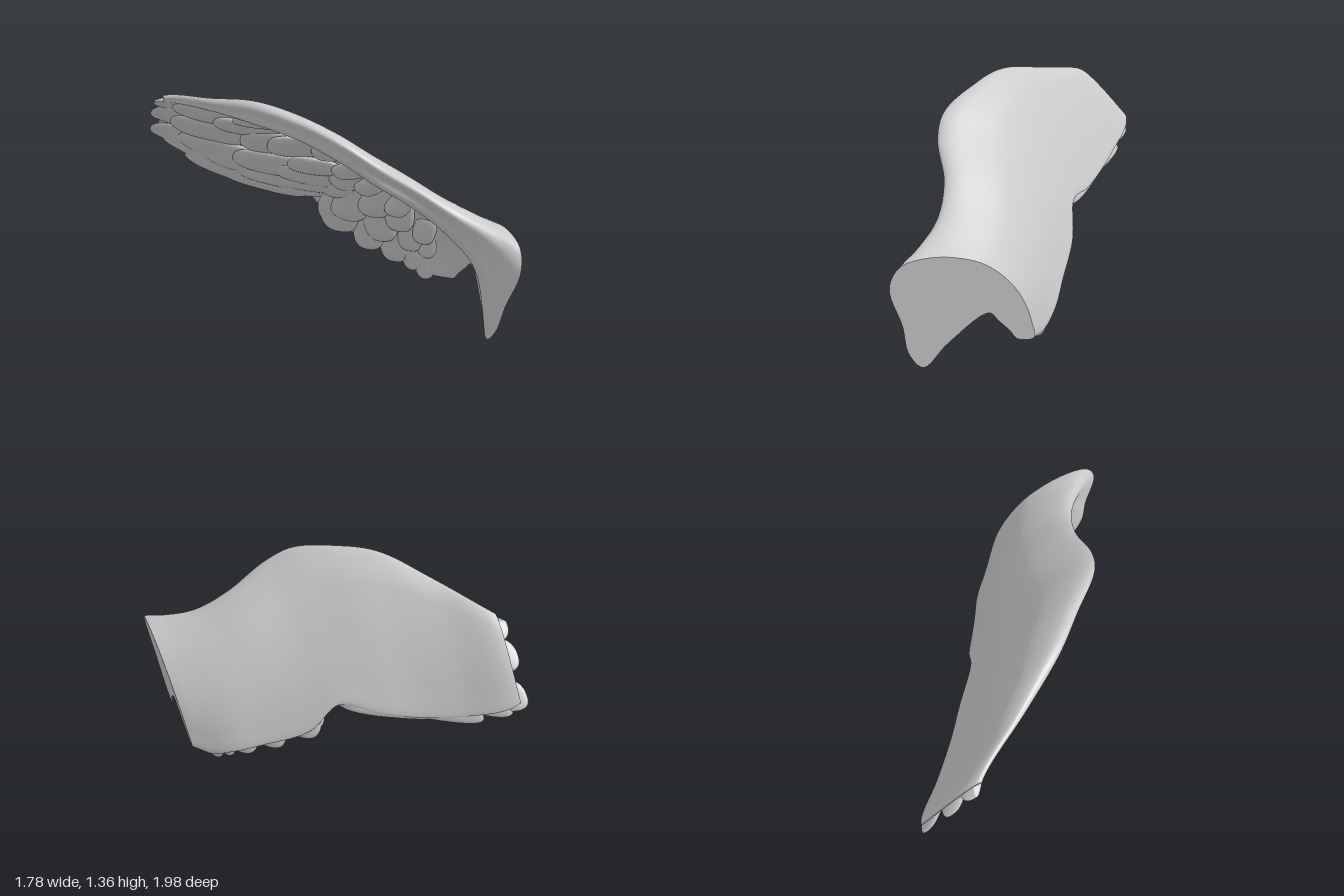
import * as THREE from 'three';

// Spanwise stations: x, then crest y, front z, crest setback, lip bottom y, lip width,
// trailing y, trailing z, shell bottom y, arch roundness, thickness
const STATIONS = [
  [-0.9, 1.18, -0.66, 0.02, 1.15, 0.03, 0.84, -1.05, 0.92, 0.15, 0.03],
  [-0.8, 1.23, -0.56, 0.03, 1.18, 0.05, 0.76, -1.02, 0.82, 0.2, 0.04],
  [-0.6, 1.3, -0.23, 0.05, 1.22, 0.08, 0.63, -0.83, 0.68, 0.3, 0.06],
  [-0.4, 1.36, 0.07, 0.08, 1.22, 0.11, 0.56, -0.65, 0.6, 0.4, 0.07],
  [-0.2, 1.33, 0.29, 0.1, 1.18, 0.13, 0.54, -0.49, 0.575, 0.5, 0.08],
  [0, 1.25, 0.5, 0.12, 1.09, 0.14, 0.48, -0.35, 0.57, 0.58, 0.09],
  [0.15, 1.15, 0.57, 0.12, 0.98, 0.14, 0.38, -0.26, 0.38, 0.64, 0.1],
  [0.4, 0.97, 0.59, 0.12, 0.79, 0.15, 0.2, -0.12, 0.23, 0.74, 0.11],
  [0.6, 0.83, 0.68, 0.14, 0.61, 0.17, 0.1, -0.01, 0.14, 0.84, 0.13],
  [0.78, 0.74, 0.85, 0.18, 0.38, 0.22, 0.05, 0.1, 0.08, 0.95, 0.17],
  [0.85, 0.715, 0.94, 0.21, 0.15, 0.28, 0.04, 0.15, 0.09, 1, 0.2],
  [0.89, 0.7, 0.99, 0.24, 0, 0.33, 0.03, 0.18, 0.1, 1, 0.22],
];
const NAMES = ['yc', 'zF', 'r', 'yl', 'lipW', 'vb', 'zT', 'low', 'arch', 'th'];
const spline = new THREE.CubicInterpolant(
  STATIONS.map((s) => s[0]), STATIONS.flatMap((s) => s.slice(1)), NAMES.length, new Float32Array(NAMES.length));

function station(x) {
  const v = spline.evaluate(THREE.MathUtils.clamp(x, -0.9, 0.89));
  return Object.fromEntries(NAMES.map((n, i) => [n, v[i]]));
}

// Depth of the smooth outer face at height y: a blend of a straight slope and a quarter ellipse
function outerZ(s, y) {
  const t = Math.max(0, (s.yc - y) / (s.yc - s.vb));
  const round = Math.sqrt(1 - (1 - Math.min(t, 1)) ** 2);
  const crest = s.zF - s.r;
  return crest + (s.zT - crest) * THREE.MathUtils.lerp(t, round, s.arch);
}

// Lean the root end so that its cut is slanted
function place(x, y, z) {
  return [x - THREE.MathUtils.smoothstep(x, 0.5, 0.89) * 0.155 * (0.7 - y), y, z];
}

// Closed cross-section: outer face up to the crest, round the lip, back down the inner face
function section(x, count) {
  const s = station(x);
  const pts = [];
  const add = (z, y) => pts.push(new THREE.Vector3(0, y, z));
  for (const k of [1, 0.8, 0.6, 0.4, 0.22, 0.09, 0]) {
    const y = s.yc - (s.yc - s.low) * k;
    add(outerZ(s, y), y);
  }
  const h = s.yc - s.yl;
  add(s.zF - s.r * 0.25, s.yc - h * 0.05);
  add(s.zF, s.yc - h * 0.22);
  add(s.zF - s.lipW * 0.2, s.yl + h * 0.42);
  add(s.zF - s.lipW * 0.3, s.yl + h * 0.15);
  add(s.zF - s.lipW * 0.55, s.yl);
  add(s.zF - s.lipW * 0.95, s.yl + h * 0.2);
  const apex = s.yl + h * 0.44;
  for (const k of [0, 0.3, 0.65, 0.97]) {
    const y = apex + (s.low - apex) * k;
    add(outerZ(s, y) + s.th * (1 - 0.6 * k), y);
  }
  return new THREE.CatmullRomCurve3(pts, true, 'centripetal').getPoints(count).slice(0, count);
}

function createShell(material) {
  const group = new THREE.Group();
  group.name = 'wingShell';
  const NX = 90, NV = 96, pos = [], idx = [];
  const rings = [];
  for (let i = 0; i <= NX; i++) {
    const x = -0.83 + (1.72 * i) / NX;
    const ring = section(x, NV).map((p) => place(x, p.y, p.z));
    rings.push(ring);
    ring.forEach((p) => pos.push(...p));
  }
  for (let i = 0; i < NX; i++) {
    for (let j = 0; j < NV; j++) {
      const a = i * NV + j, b = i * NV + ((j + 1) % NV);
      idx.push(a, b, a + NV, b, b + NV, a + NV);
    }
  }
  const geo = new THREE.BufferGeometry();
  geo.setAttribute('position', new THREE.Float32BufferAttribute(pos, 3));
  geo.setIndex(idx);
  geo.computeVertexNormals();
  const skin = new THREE.Mesh(geo, material);
  skin.name = 'wingSkin';
  group.add(skin);

  // Flat cut at the root and closing face near the tip
  for (const [name, ring] of [['tipCap', rings[0]], ['rootCap', rings[NX]]]) {
    const faces = THREE.ShapeUtils.triangulateShape(ring.map((p) => new THREE.Vector2(-p[2], p[1])), []);
    const cap = new THREE.BufferGeometry();
    cap.setAttribute('position', new THREE.Float32BufferAttribute(ring.flat(), 3));
    cap.setIndex(faces.flat());
    cap.computeVertexNormals();
    const mesh = new THREE.Mesh(cap, material);
    mesh.name = name;
    group.add(mesh);
  }
  return group;
}

// Flattened blunt blade that follows the wing's curve; given by its tip and direction
function createFeather(tipX, tipY, degrees, length, width, layer, material) {
  const geo = new THREE.SphereGeometry(1, 20, 24);
  const pos = geo.attributes.position;
  const a = THREE.MathUtils.degToRad(degrees);
  const dx = Math.cos(a), dy = Math.sin(a);
  const thick = 0.042;
  const blunt = (v) => Math.sign(v) * Math.pow(Math.abs(v), 0.75);
  for (let i = 0; i < pos.count; i++) {
    const sx = blunt(pos.getX(i)), sy = blunt(pos.getY(i)), sz = pos.getZ(i);
    const along = (-(1 - sy) * length) / 2;
    const across = (sx * width) / 2;
    const x = tipX + dx * along + dy * across;
    const s = station(x);
    const y = Math.min(tipY + dy * along - dx * across, s.yl + 0.02);
    const lift = thick + 0.003 + layer * 0.032 + 0.012 * sy * layer;
    pos.setXYZ(i, ...place(x, y, outerZ(s, y) + lift + sz * thick));
  }
  geo.computeVertexNormals();
  return new THREE.Mesh(geo, material);
}

// Rows of feathers: tip x, tip y, direction in degrees, length, width
const ROWS = {
  primaryFeather: [0, [
    [-0.885, 1.17, 181, 0.6, 0.2], [-0.89, 1.04, 179, 0.62, 0.2], [-0.88, 0.87, 175, 0.62, 0.2],
    [-0.8, 0.8, 170, 0.5, 0.15], [-0.68, 0.71, 170, 0.5, 0.16], [-0.5, 0.65, 172, 0.5, 0.14],
    [-0.32, 0.625, 179, 0.4, 0.14],
  ]],
  secondaryFeather: [0, [
    [0.2, 0.3, 276, 0.42, 0.22], [0.36, 0.19, 272, 0.4, 0.18], [0.52, 0.12, 275, 0.4, 0.18],
    [0.64, 0.08, 280, 0.36, 0.15], [0.75, 0.04, 288, 0.36, 0.16], [0.13, 0.38, 268, 0.34, 0.15],
  ]],
  primaryCovert: [1, [
    [-0.78, 1.14, 183, 0.45, 0.15], [-0.78, 1.0, 180, 0.42, 0.19], [-0.73, 0.87, 174, 0.42, 0.18],
    [-0.6, 0.8, 172, 0.42, 0.17], [-0.42, 0.72, 172, 0.4, 0.15], [-0.2, 0.7, 180, 0.34, 0.16],
  ]],
  secondaryCovert: [1, [
    [0.2, 0.43, 262, 0.34, 0.21], [0.42, 0.3, 282, 0.36, 0.18], [0.58, 0.25, 275, 0.32, 0.16],
    [0.06, 0.64, 225, 0.3, 0.18], [0.7, 0.22, 285, 0.3, 0.13],
  ]],
  middleCovert: [2, [
    [-0.58, 1.12, 178, 0.36, 0.14], [-0.43, 1.01, 182, 0.32, 0.2], [-0.45, 0.85, 174, 0.42, 0.2],
    [-0.22, 0.8, 172, 0.34, 0.16], [0.07, 0.76, 212, 0.28, 0.19], [0.31, 0.52, 262, 0.28, 0.18],
    [0.48, 0.43, 278, 0.26, 0.15], [0.62, 0.35, 272, 0.22, 0.13],
  ]],
  smallCovert: [3, [
    [-0.5, 1.19, 184, 0.36, 0.1], [-0.3, 1.02, 185, 0.28, 0.19], [-0.18, 0.9, 176, 0.28, 0.16],
    [-0.08, 1.02, 205, 0.24, 0.16], [0.05, 0.87, 215, 0.24, 0.15], [0.2, 0.74, 235, 0.22, 0.14],
    [0.4, 0.58, 255, 0.2, 0.13],
  ]],
};

export function createModel() {
  const wing = new THREE.Group();
  wing.name = 'wing';
  const material = new THREE.MeshStandardMaterial({ color: 0xcccccc, side: THREE.DoubleSide });
  wing.add(createShell(material));
  for (const [name, [layer, feathers]] of Object.entries(ROWS)) {
    const row = new THREE.Group();
    row.name = name + 'Row';
    feathers.forEach((f, i) => {
      const mesh = createFeather(...f, layer, material);
      mesh.name = name + (i + 1);
      row.add(mesh);
    });
    wing.add(row);
  }
  return wing;
}
